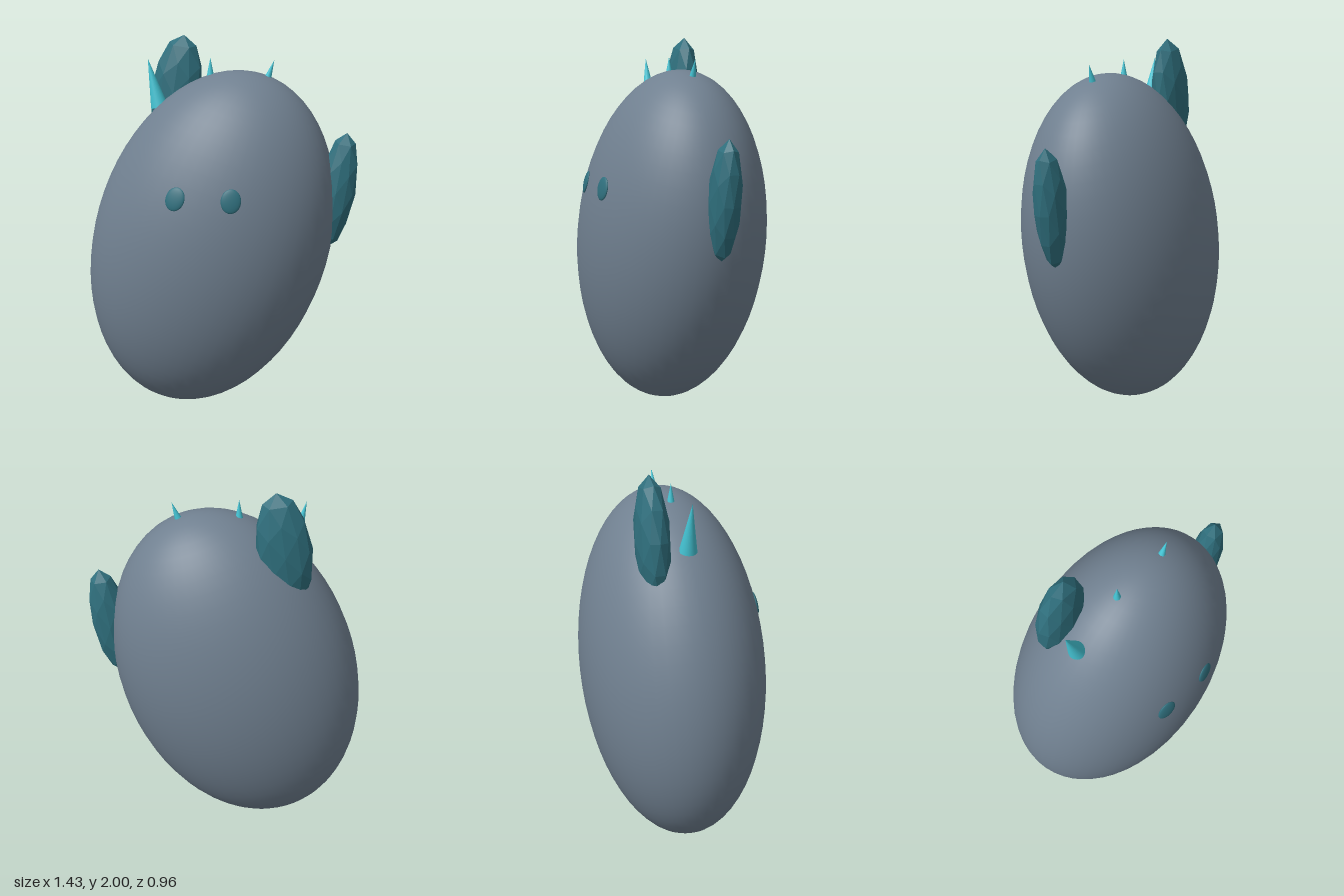
import * as THREE from 'three';

const slate = new THREE.MeshStandardMaterial({ color: 0x708090 });
const teal = new THREE.MeshStandardMaterial({ color: 0x2f6f7d });
const tealFlat = new THREE.MeshStandardMaterial({ color: 0x2f6f7d, flatShading: true });
const cyan = new THREE.MeshStandardMaterial({ color: 0x44c4d4 });

export function createModel() {
  const model = new THREE.Group();
  const add = (name, geometry, material, position) => {
    const mesh = new THREE.Mesh(geometry, material);
    mesh.name = name;
    mesh.position.set(...position);
    model.add(mesh);
    return mesh;
  };

  // Leaning egg-shaped body
  const center = new THREE.Vector3(-0.057, 0.92, 0);
  const radii = new THREE.Vector3(0.63, 0.94, 0.48);
  const lean = -0.3;
  const body = add('body', new THREE.SphereGeometry(1, 48, 32), slate, center.toArray());
  body.scale.copy(radii);
  body.rotation.z = lean;

  // Faceted ears
  const ears = [
    ['leftEar', [0.61, 1.22, 0], [0.1, 0.31, 0.08]],
    ['rightEar', [-0.27, 1.695, -0.163], [0.14, 0.31, 0.085]],
  ];
  for (const [name, position, scale] of ears) {
    const ear = add(name, new THREE.IcosahedronGeometry(1, 1), tealFlat, position);
    ear.scale.set(...scale);
    ear.rotation.z = -0.15;
  }

  // Cone spikes along the crown: base, tip, radius
  const spikes = [
    ['rightSpike', [-0.327, 1.64], [-0.385, 1.89], 0.045],
    ['middleSpike', [-0.055, 1.8], [-0.055, 1.9], 0.02],
    ['leftSpike', [0.24, 1.79], [0.275, 1.89], 0.02],
  ];
  for (const [name, base, tip, radius] of spikes) {
    const dx = tip[0] - base[0], dy = tip[1] - base[1];
    const cone = new THREE.ConeGeometry(radius, Math.hypot(dx, dy), 24);
    const spike = add(name, cone, cyan, [base[0] + dx / 2, base[1] + dy / 2, 0]);
    spike.rotation.z = -Math.atan2(dx, dy);
  }

  // Flat oval eyes lying on the body surface
  const zAxis = new THREE.Vector3(0, 0, 1);
  for (const [name, x, y, roll] of [['rightEye', -0.158, 1.248, -0.35], ['leftEye', 0.12, 1.248, -0.08]]) {
    const p = new THREE.Vector3(x, y, 0).sub(center).applyAxisAngle(zAxis, -lean).divide(radii);
    p.z = Math.sqrt(1 - p.x * p.x - p.y * p.y);
    const normal = p.clone().divide(radii).normalize().applyAxisAngle(zAxis, lean);
    const eye = add(name, new THREE.SphereGeometry(1, 24, 16), teal, [x, y, p.z * radii.z]);
    eye.scale.set(0.05, 0.06, 0.012);
    eye.quaternion.setFromUnitVectors(zAxis, normal);
    eye.rotateZ(roll);
  }
  return model;
}
